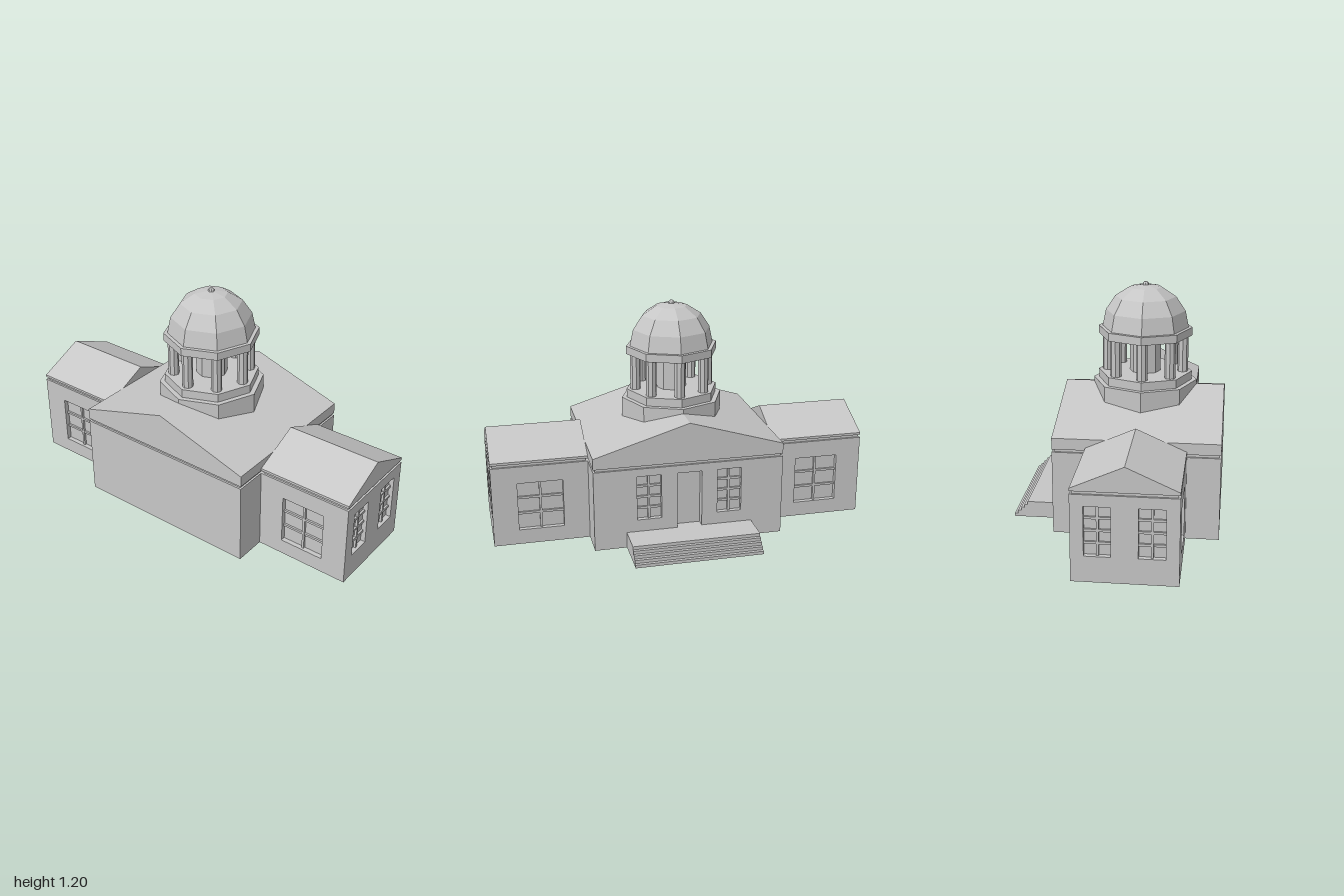
import * as THREE from 'three';

const stone = new THREE.MeshStandardMaterial({ color: 0xc6c6c6, flatShading: true });
stone.name = 'pale grey stone';

const CZ = 0.117;        // shared centre line of wings and dome
const WALL = 0.432;      // wall height
const CORNICE = 0.447;   // underside of the roof band
const THICK = 0.05;      // wall thickness

function add(parent, geometry, name, x = 0, y = 0, z = 0) {
  const mesh = new THREE.Mesh(geometry, stone);
  mesh.name = name;
  mesh.position.set(x, y, z);
  parent.add(mesh);
  return mesh;
}

function box(parent, name, w, h, d, x, y, z) {
  return add(parent, new THREE.BoxGeometry(w, h, d), name, x, y, z);
}

// Wall facing +z with its outer face at z = 0.
// Openings: { x, y0, y1, w, cols, rows, depth }
function wall(name, width, openings = []) {
  const group = new THREE.Group();
  group.name = name;
  const shape = new THREE.Shape([
    new THREE.Vector2(-width / 2, 0), new THREE.Vector2(width / 2, 0),
    new THREE.Vector2(width / 2, WALL), new THREE.Vector2(-width / 2, WALL),
  ]);
  for (const o of openings) {
    const a = o.x - o.w / 2, b = o.x + o.w / 2, h = o.y1 - o.y0, my = (o.y0 + o.y1) / 2;
    shape.holes.push(new THREE.Path([
      new THREE.Vector2(a, o.y0), new THREE.Vector2(a, o.y1),
      new THREE.Vector2(b, o.y1), new THREE.Vector2(b, o.y0),
    ]));
    // recessed pane or door leaf, then glazing bars
    box(group, o.cols ? 'windowPane' : 'doorLeaf', o.w, h, 0.008, o.x, my, -o.depth - 0.004);
    for (let i = 1; i < o.cols; i++) {
      box(group, 'windowBar', 0.012, h, 0.012, a + (o.w * i) / o.cols, my, -o.depth + 0.006);
    }
    for (let j = 1; j < o.rows; j++) {
      box(group, 'windowBar', o.w, 0.012, 0.01, o.x, o.y0 + (h * j) / o.rows, -o.depth + 0.005);
    }
  }
  const geometry = new THREE.ExtrudeGeometry(shape, { depth: THICK, bevelEnabled: false });
  geometry.translate(0, 0, -THICK);
  add(group, geometry, 'wallPanel');
  return group;
}

// Gable roof with a vertical eave band, ridge along z, centred on its own origin
function gableRoof(parent, name, span, length, eave, ridge) {
  const s = span / 2;
  const shape = new THREE.Shape([
    new THREE.Vector2(-s, CORNICE), new THREE.Vector2(s, CORNICE),
    new THREE.Vector2(s, eave), new THREE.Vector2(0, ridge), new THREE.Vector2(-s, eave),
  ]);
  const geometry = new THREE.ExtrudeGeometry(shape, { depth: length, bevelEnabled: false });
  geometry.translate(0, 0, -length / 2);
  return add(parent, geometry, name);
}

// Block of four walls, floor and recessed cornice groove
function block(name, width, depth, { front, back, right, left }) {
  const group = new THREE.Group();
  group.name = name;
  const sides = [
    ['frontWall', width, front, 0, depth / 2, 0],
    ['leftWall', depth, left, width / 2, 0, Math.PI / 2],
    ['backWall', width, back, 0, -depth / 2, Math.PI],
    ['rightWall', depth, right, -width / 2, 0, -Math.PI / 2],
  ];
  for (const [label, w, openings, x, z, angle] of sides) {
    const panel = wall(label, w, openings);
    panel.position.set(x, 0, z);
    panel.rotation.y = angle;
    group.add(panel);
  }
  box(group, 'floor', width - 0.02, 0.02, depth - 0.02, 0, 0.01, 0);
  const g = CORNICE - WALL + 0.02;
  box(group, 'corniceGroove', width - 0.02, g, depth - 0.02, 0, (CORNICE + WALL) / 2, 0);
  return group;
}

function createMainHall() {
  const win = (x) => ({ x, y0: 0.15, y1: 0.39, w: 0.128, cols: 2, rows: 4, depth: 0.025 });
  const door = { x: 0, y0: 0.085, y1: 0.39, w: 0.13, cols: 0, rows: 0, depth: 0.045 };
  const hall = block('mainHall', 1, 0.835, { back: [win(-0.212), door, win(0.212)] });
  gableRoof(hall, 'mainRoof', 1, 0.835, 0.505, 0.657);
  hall.position.z = CZ;
  return hall;
}

function createWing(side) {
  const wide = [{ x: 0, y0: 0.08, y1: 0.34, w: 0.235, cols: 2, rows: 3, depth: 0.025 }];
  const narrow = [-1, 1].map((s) => (
    { x: s * 0.125, y0: 0.13, y1: 0.375, w: 0.125, cols: 2, rows: 4, depth: 0.025 }));
  const wing = block(side > 0 ? 'leftWing' : 'rightWing', 0.5, 0.5,
    { front: wide, back: wide, left: narrow });
  gableRoof(wing, 'wingRoof', 0.5, 0.5, 0.46, 0.572).rotation.y = Math.PI / 2;
  wing.position.set(side * 0.75, 0, CZ);
  if (side < 0) wing.rotation.y = Math.PI;
  return wing;
}

function createStairs() {
  const stairs = new THREE.Group();
  stairs.name = 'rearStairs';
  const steps = 5, height = 0.085;
  for (let i = 0; i < steps; i++) {
    const top = height * (1 - i / steps), end = 0.465 + i * 0.0172;
    const h = height / steps, d = end - 0.295;
    box(stairs, i ? 'step' : 'landing', 0.666, h, d, 0, top - h / 2, -0.295 - d / 2);
  }
  return stairs;
}

function createCupola() {
  const cupola = new THREE.Group();
  cupola.name = 'cupola';
  // octagonal tiers: name, radius, bottom, top
  const tiers = [
    ['cupolaBase', 0.272, 0.55, 0.68],
    ['cupolaPlinth', 0.245, 0.68, 0.725],
    ['cupolaCore', 0.081, 0.72, 0.925],
    ['cupolaRing', 0.245, 0.918, 0.96],
  ];
  for (const [name, r, y0, y1] of tiers) {
    add(cupola, new THREE.CylinderGeometry(r, r, y1 - y0, 8), name, 0, (y0 + y1) / 2, 0);
  }
  // ring of columns at the octagon corners
  const shaft = new THREE.CylinderGeometry(0.028, 0.028, 0.205, 8);
  for (let i = 0; i < 8; i++) {
    const a = (i * Math.PI) / 4;
    add(cupola, shaft, 'cupolaColumn', Math.sin(a) * 0.197, 0.8225, Math.cos(a) * 0.197);
  }
  // faceted dome and finial
  const profile = [[0.225, 0.955], [0.225, 0.96], [0.207, 1.046], [0.158, 1.12], [0.084, 1.168], [0, 1.182]];
  add(cupola, new THREE.LatheGeometry(profile.map(([r, y]) => new THREE.Vector2(r, y)), 8), 'dome');
  add(cupola, new THREE.SphereGeometry(0.017, 8, 6), 'finial', 0, 1.18, 0);
  cupola.position.z = CZ;
  return cupola;
}

export function createModel() {
  const model = new THREE.Group();
  model.name = 'domedHall';
  model.add(createMainHall(), createWing(1), createWing(-1), createStairs(), createCupola());
  return model;
}
